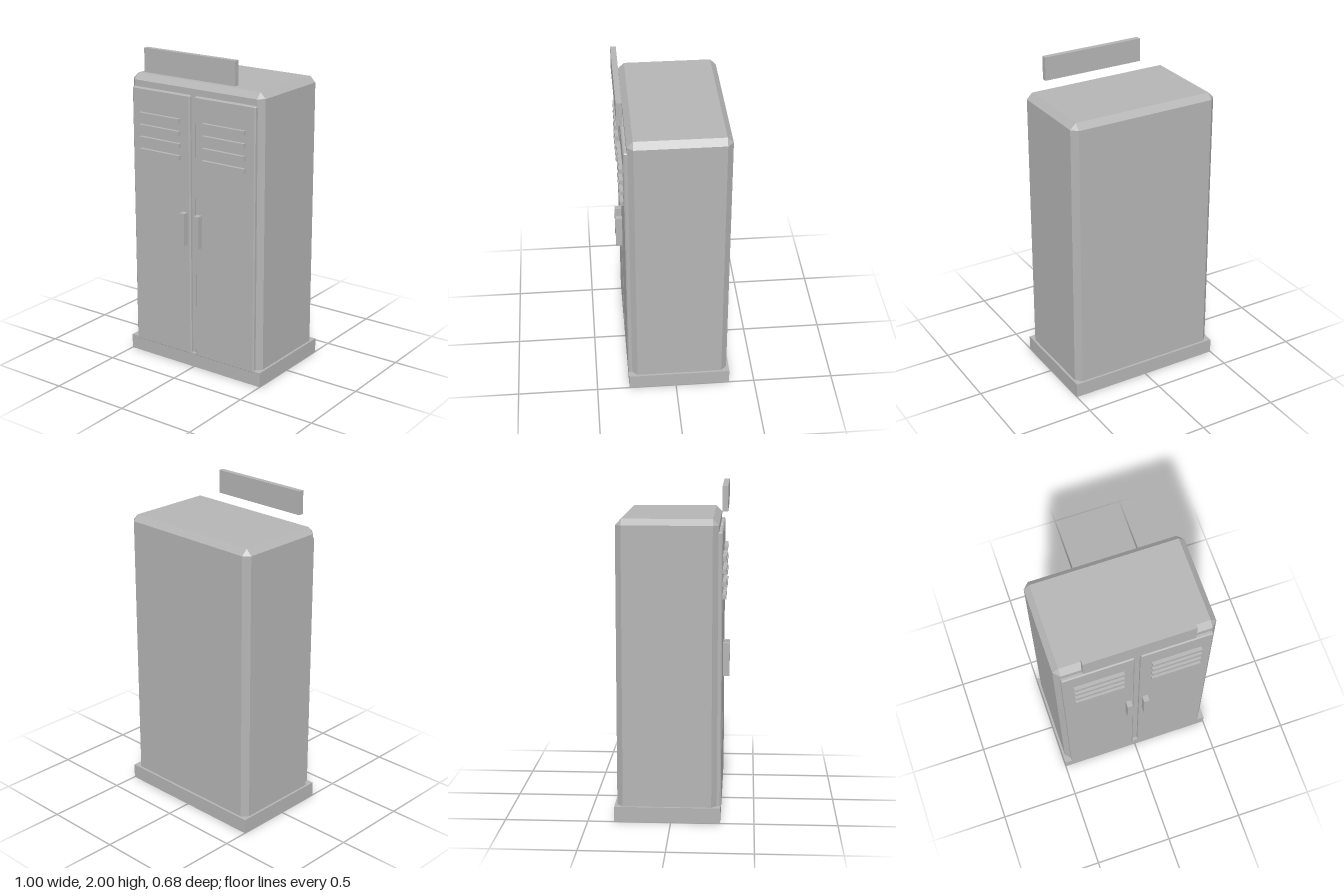
import * as THREE from 'three';
import { ConvexGeometry } from 'three/addons/geometries/ConvexGeometry.js';

const grey = new THREE.MeshStandardMaterial({ color: 0xb4b4b4 });
grey.name = 'lockerGrey';

// Box given by its extents
function box(name, x0, x1, y0, y1, z0, z1) {
  const geo = new THREE.BoxGeometry(x1 - x0, y1 - y0, z1 - z0);
  geo.translate((x0 + x1) / 2, (y0 + y1) / 2, (z0 + z1) / 2);
  const mesh = new THREE.Mesh(geo, grey);
  mesh.name = name;
  return mesh;
}

// Box with every edge cut by one flat chamfer of width c
function chamferBox(name, x0, x1, y0, y1, z0, z1, c) {
  const points = [];
  for (const [x, sx] of [[x0, 1], [x1, -1]])
    for (const [y, sy] of [[y0, 1], [y1, -1]])
      for (const [z, sz] of [[z0, 1], [z1, -1]]) {
        const xi = x + sx * c, yi = y + sy * c, zi = z + sz * c;
        points.push(
          new THREE.Vector3(x, yi, zi),
          new THREE.Vector3(xi, y, zi),
          new THREE.Vector3(xi, yi, z)
        );
      }
  const mesh = new THREE.Mesh(new ConvexGeometry(points), grey);
  mesh.name = name;
  return mesh;
}

export function createModel() {
  const locker = new THREE.Group();
  locker.name = 'locker';

  // Plinth and chamfered cabinet (its lower chamfer sits inside the plinth)
  locker.add(box('base', -0.5, 0.5, 0, 0.093, -0.34, 0.297));
  locker.add(chamferBox('cabinet', -0.486, 0.486, 0.057, 1.82, -0.325, 0.279, 0.036));

  // Two doors, each with vent slats and a handle
  for (const [side, s] of [['left', 1], ['right', -1]]) {
    const span = (a, b) => (s > 0 ? [a, b] : [-b, -a]);
    const door = new THREE.Group();
    door.name = side + 'Door';
    door.add(chamferBox(side + 'DoorPanel', ...span(0.018, 0.454), 0.08, 1.745, 0.262, 0.3, 0.007));
    for (let i = 0; i < 4; i++) {
      const y = 1.582 - i * 0.0757;
      door.add(box(side + 'Vent' + (i + 1), ...span(0.085, 0.388), y - 0.014, y + 0.014, 0.295, 0.322));
    }
    door.add(box(side + 'Handle', ...span(0.036, 0.071), 0.81, 1.017, 0.295, 0.34));
    locker.add(door);
  }

  // Sign plate floating above the front edge
  locker.add(box('signPlate', -0.331, 0.331, 1.853, 2, 0.294, 0.328));

  return locker;
}
